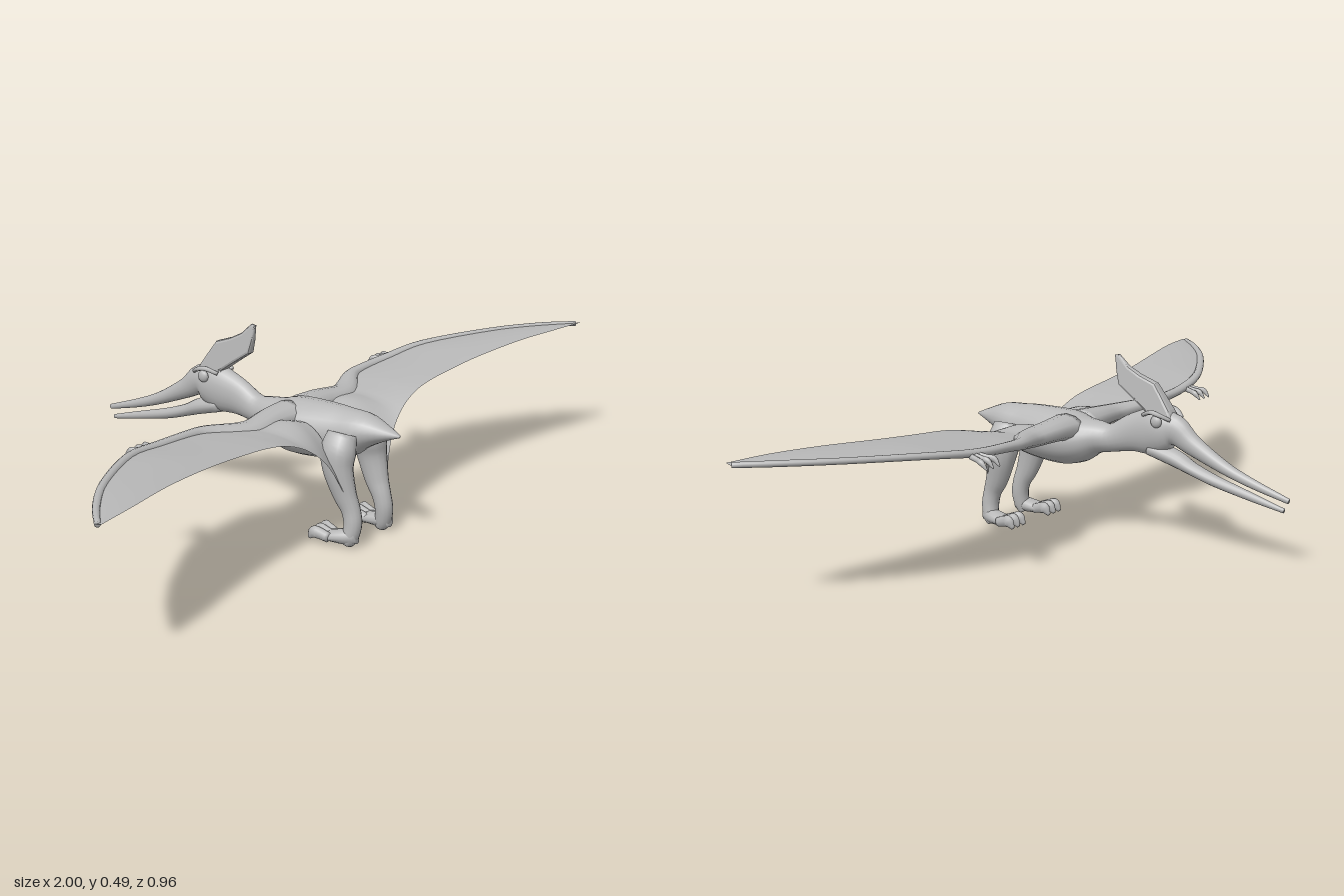
import * as THREE from 'three';

const V = (x, y, z) => new THREE.Vector3(x, y, z);
const UP = V(0, 1, 0);
const FORE = V(0, 0, 1);

// Smooth tube through rings [x, y, z, radiusAcross, radiusAlongRef], closed at both ends
function loft(rings, ref = UP, sides = 16, steps = 4) {
  const path = new THREE.CatmullRomCurve3(rings.map(r => V(r[0], r[1], r[2])), false, 'catmullrom', 0.5);
  const size = new THREE.CatmullRomCurve3(rings.map(r => V(r[3], r[4], 0)), false, 'catmullrom', 0.5);
  const n = (rings.length - 1) * steps;
  const pos = [], idx = [];
  for (let k = -1; k <= n + 1; k++) {
    const t = Math.min(Math.max(k, 0), n) / n;
    const cap = k < 0 || k > n ? 0 : 1;
    const c = path.getPoint(t), s = size.getPoint(t), tan = path.getTangent(t);
    const u = ref.clone().cross(tan).normalize();
    const v = tan.clone().cross(u);
    for (let j = 0; j < sides; j++) {
      const a = j / sides * Math.PI * 2;
      const p = c.clone()
        .addScaledVector(u, Math.cos(a) * s.x * cap)
        .addScaledVector(v, Math.sin(a) * s.y * cap);
      pos.push(p.x, p.y, p.z);
    }
  }
  for (let i = 0; i < n + 2; i++) {
    for (let j = 0; j < sides; j++) {
      const a = i * sides + j, b = i * sides + (j + 1) % sides;
      idx.push(a, b, a + sides, b, b + sides, a + sides);
    }
  }
  return indexed(pos, idx);
}

function indexed(pos, idx) {
  const g = new THREE.BufferGeometry();
  g.setAttribute('position', new THREE.Float32BufferAttribute(pos, 3));
  g.setIndex(idx);
  g.computeVertexNormals();
  return g;
}

// Spine sections [z, top, bottom, halfWidth] turned into rings
const spine = list => list.map(([z, top, bot, w]) => [0, (top + bot) / 2, z, w, (top - bot) / 2]);

// Wing skin stations: leading point, trailing point, lift of the middle
const SKIN = [
  [[1.0, .346, .41], [.998, .35, .428], 0],
  [[.9, .343, .32], [.88, .35, .41], .003],
  [[.8, .338, .245], [.74, .345, .38], .005],
  [[.61, .325, .145], [.58, .333, .352], .008],
  [[.475, .309, .115], [.45, .322, .34], .008],
  [[.34, .301, .115], [.34, .312, .337], .006],
  [[.27, .294, .135], [.26, .297, .342], .008],
  [[.2, .288, .168], [.19, .265, .352], .015],
  [[.12, .285, .17], [.135, .215, .366], .045],
  [[.06, .27, .19], [.088, .13, .385], .07],
];

function wingSkin(s) {
  const lead = new THREE.CatmullRomCurve3(SKIN.map(r => V(...r[0])));
  const trail = new THREE.CatmullRomCurve3(SKIN.map(r => V(...r[1])));
  lead.curveType = trail.curveType = 'catmullrom';
  const nu = 36, nv = 10, pos = [], idx = [];
  for (let i = 0; i <= nu; i++) {
    const f = i / nu * (SKIN.length - 1);
    const k = Math.min(Math.floor(f), SKIN.length - 2);
    const lift = THREE.MathUtils.lerp(SKIN[k][2], SKIN[k + 1][2], f - k);
    const a = lead.getPoint(i / nu), b = trail.getPoint(i / nu);
    for (let j = 0; j <= nv; j++) {
      const p = a.clone().lerp(b, j / nv);
      pos.push(s * p.x, p.y + lift * 4 * (j / nv) * (1 - j / nv), p.z);
    }
  }
  for (let i = 0; i < nu; i++) {
    for (let j = 0; j < nv; j++) {
      const a = i * (nv + 1) + j, b = a + nv + 1;
      // keep the top side outward on both wings
      if (s > 0) idx.push(a, b, a + 1, b, b + 1, a + 1);
      else idx.push(a, a + 1, b, b, a + 1, b + 1);
    }
  }
  return indexed(pos, idx);
}

// Thin head crest, narrowing towards its tip
function crestGeometry() {
  const outline = [[-.15, .335], [-.138, .36], [-.115, .393], [-.092, .425], [-.045, .442], [-.01, .46],
    [.02, .488], [.033, .486], [.027, .445], [.018, .41], [-.03, .377], [-.067, .35], [-.06, .32]];
  const shape = new THREE.Shape(outline.map(p => new THREE.Vector2(...p)));
  const g = new THREE.ExtrudeGeometry(shape, {
    depth: .016, bevelEnabled: true, bevelThickness: .01, bevelSize: .007, bevelOffset: -.007, bevelSegments: 2,
  });
  g.translate(0, 0, -.008).rotateY(-Math.PI / 2);
  const p = g.attributes.position;
  for (let i = 0; i < p.count; i++) {
    p.setX(i, p.getX(i) * THREE.MathUtils.mapLinear(p.getY(i), .34, .488, 1.25, .3));
  }
  g.computeVertexNormals();
  return g;
}

export function createModel() {
  const model = new THREE.Group();
  model.name = 'flyingReptile';
  const skin = new THREE.MeshStandardMaterial({ color: 0xb8b8b8, side: THREE.DoubleSide });
  skin.name = 'grey skin';
  const add = (parent, name, geometry) => {
    const m = new THREE.Mesh(geometry, skin);
    m.name = name;
    parent.add(m);
    return m;
  };

  // Body, neck, skull and upper beak in one sweep from beak tip to tail
  add(model, 'bodyAndUpperBeak', loft(spine([
    [-.477, .174, .16, .006], [-.37, .212, .187, .012], [-.29, .247, .213, .017], [-.2, .303, .248, .023],
    [-.15, .348, .266, .029], [-.11, .361, .245, .037], [-.07, .355, .235, .035], [-.02, .335, .236, .03],
    [.04, .303, .228, .033], [.09, .307, .217, .048], [.14, .318, .188, .075], [.2, .325, .179, .083],
    [.31, .327, .193, .062], [.38, .323, .232, .05], [.44, .301, .262, .026], [.48, .284, .278, .004],
  ]), UP, 20));
  add(model, 'lowerJaw', loft(spine([
    [-.464, .147, .135, .006], [-.37, .175, .153, .011], [-.267, .205, .176, .017],
    [-.2, .23, .197, .022], [-.15, .256, .213, .027], [-.08, .275, .233, .03],
  ])));
  add(model, 'crest', crestGeometry());

  for (const s of [1, -1]) {
    const side = s > 0 ? 'left' : 'right';
    const limb = (parent, name, rings, ref, sides) =>
      add(parent, name, loft(rings.map(([x, ...r]) => [s * x, ...r]), ref, sides));

    // Eye with its brow ridge
    const eye = add(model, side + 'Eye', new THREE.SphereGeometry(.016, 14, 10));
    eye.scale.x = .6;
    eye.position.set(s * .036, .332, -.113);
    limb(model, side + 'Brow', [[.028, .338, -.15, .006, .005], [.042, .351, -.125, .009, .006],
      [.042, .356, -.1, .009, .006], [.03, .345, -.07, .006, .005]], UP, 8);

    // Wing: arm, long wing finger and skin
    const wing = new THREE.Group();
    wing.name = side + 'Wing';
    model.add(wing);
    limb(wing, 'wingArm', [
      [.03, .284, .168, .055, .036], [.1, .287, .165, .044, .029], [.2, .284, .168, .037, .023],
      [.3, .297, .12, .021, .016], [.36, .302, .112, .015, .013], [.475, .309, .118, .015, .011],
      [.61, .325, .147, .012, .009], [.8, .338, .248, .01, .008], [.92, .344, .34, .009, .008],
      [.995, .346, .414, .007, .007],
    ], UP, 12);
    add(wing, 'wingSkin', wingSkin(s));
    for (let i = -1; i <= 1; i++) {
      const x = .497 + i * .013, d = i * .012;
      limb(wing, 'finger', [[x, .307, .112, .007, .008], [x + d * .5, .303, .088, .007, .007],
        [x + d, .299, .072, .007, .008], [x + d, .283, .056, .002, .002]], UP, 8);
    }

    // Leg and foot
    const leg = new THREE.Group();
    leg.name = side + 'Leg';
    model.add(leg);
    limb(leg, 'shank', [
      [.05, .275, .345, .03, .04], [.066, .235, .345, .04, .047], [.073, .19, .35, .034, .041],
      [.07, .13, .368, .026, .033], [.067, .09, .386, .022, .026], [.068, .055, .394, .022, .024],
      [.072, .02, .39, .021, .021], [.073, .001, .382, .016, .015],
    ], FORE, 14);
    limb(leg, 'foot', [[.072, .026, .408, .014, .02], [.076, .02, .38, .023, .02],
      [.08, .016, .345, .028, .015], [.083, .014, .325, .026, .012]], UP, 12);
    for (let i = -1; i <= 1; i++) {
      const x = .083 + i * .018, d = i * .007;
      limb(leg, 'toe', [[x, .015, .345, .011, .013], [x + d * .5, .022, .318, .011, .015],
        [x + d, .022, .304, .01, .016], [x + d, .006, .29, .004, .005]], UP, 10);
    }
  }
  return model;
}
